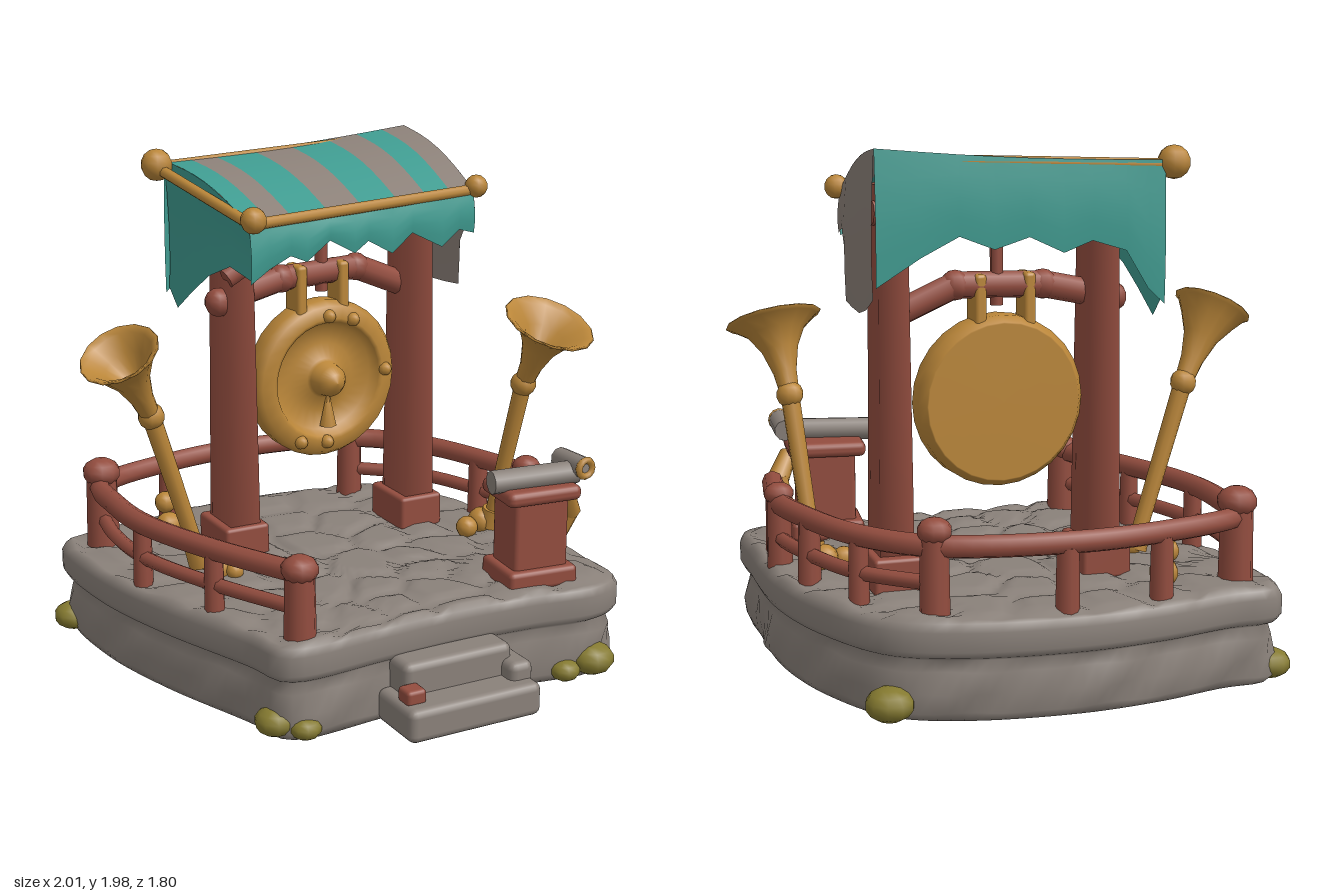
import * as THREE from 'three';
import { RoundedBoxGeometry } from 'three/addons/geometries/RoundedBoxGeometry.js';

const V = (x, y, z) => new THREE.Vector3(x, y, z);
const lerp = THREE.MathUtils.lerp;

export function createModel() {
  const root = new THREE.Group();
  const mat = (name, color, side = THREE.FrontSide) => Object.assign(new THREE.MeshStandardMaterial({ color, side }), { name });
  const stone = mat('grey stone', 0x8a817a);
  const wood = mat('red wood', 0x934d3f);
  const gold = mat('gold', 0xba8639, THREE.DoubleSide);
  const teal = mat('teal cloth', 0x3f9b90, THREE.DoubleSide);
  const greyCloth = mat('grey cloth', 0x8b8078, THREE.DoubleSide);
  const moss = mat('olive moss', 0x857a30);

  const add = (name, geo, m, x = 0, y = 0, z = 0, parent = root) => {
    const mesh = new THREE.Mesh(geo, m);
    mesh.name = name;
    mesh.position.set(x, y, z);
    parent.add(mesh);
    return mesh;
  };
  const box = (name, w, h, d, m, x, y, z, r = 0.015, parent = root) =>
    add(name, new RoundedBoxGeometry(w, h, d, 2, r), m, x, y, z, parent);
  const ball = (name, r, m, x, y, z, sx = 1, sy = 1, sz = 1) => {
    const b = add(name, new THREE.SphereGeometry(r, 10, 7), m, x, y, z);
    b.scale.set(sx, sy, sz);
    return b;
  };
  // cylinder between two points
  const rod = (name, a, b, r0, r1, m, sides = 10) => {
    const c = add(name, new THREE.CylinderGeometry(r1, r0, a.distanceTo(b), sides), m);
    c.position.copy(a).lerp(b, 0.5);
    c.quaternion.setFromUnitVectors(V(0, 1, 0), b.clone().sub(a).normalize());
    return c;
  };
  // grid surface from f(u, v); cols holds the u values
  const surface = (name, f, cols, rows, m) => {
    const pos = [], idx = [], n = cols.length;
    for (let j = 0; j <= rows; j++) for (const u of cols) pos.push(...f(u, j / rows).toArray());
    for (let j = 0; j < rows; j++) for (let i = 0; i < n - 1; i++) {
      const a = j * n + i;
      idx.push(a, a + n, a + 1, a + 1, a + n, a + n + 1);
    }
    const g = new THREE.BufferGeometry();
    g.setAttribute('position', new THREE.Float32BufferAttribute(pos, 3));
    g.setIndex(idx);
    g.computeVertexNormals();
    return add(name, g, m);
  };
  const steps = (n, a = 0, b = 1) => Array.from({ length: n + 1 }, (_, i) => lerp(a, b, i / n));

  // ---- stone platform: outline swept up the wall, then in over the cobbles
  const outline = new THREE.CatmullRomCurve3([
    [-0.89, -0.75], [-0.84, -0.79], [-0.69, -0.80], [-0.4, -0.87], [-0.07, -0.905], [0.35, -0.86], [0.6, -0.75],
    [0.78, -0.45], [0.88, -0.08], [0.895, 0.35], [0.88, 0.63], [0.75, 0.7], [0.46, 0.67], [0.14, 0.655],
    [-0.18, 0.67], [-0.53, 0.69], [-0.6, 0.65], [-0.64, 0.49], [-0.8, 0.03], [-0.89, -0.37],
  ].map(([x, z]) => V(x, 0, z)), true, 'centripetal').getSpacedPoints(120);
  let seed = 7;
  const rand = () => (seed = (seed * 16807) % 2147483647) / 2147483647;
  const cells = [];
  for (let i = 0; i < 9; i++) for (let j = 0; j < 9; j++)
    cells.push([-0.95 + i * 0.24 + (rand() - 0.5) * 0.16, -0.95 + j * 0.24 + (rand() - 0.5) * 0.16]);
  const cobble = (x, z) => {
    const d = cells.map(([a, b]) => Math.hypot(x - a, z - b)).sort((a, b) => a - b);
    return 0.022 * Math.min(1, (d[1] - d[0]) / 0.07);
  };
  const wall = [[0, 0], [0, 0.96], [0.03, 0.975], [0.1, 0.98], [0.18, 0.975], [0.22, 0.955], [0.235, 0.985], [0.26, 1], [0.33, 1], [0.36, 0.985]];
  for (let i = 0; i <= 26; i++) wall.push([0.368, 0.96 * (1 - i / 26)]);
  surface('platform', (u, v) => {
    const [y, s] = wall[Math.round(v * (wall.length - 1))];
    const p = outline[Math.round(u * 120) % 120];
    const a = u * Math.PI * 2;
    const k = s * (1 + (y > 0 && y < 0.22 ? 0.014 * Math.sin(a * 17 + y * 30) * Math.sin(a * 5 + 1) : 0));
    return V(p.x * k, y > 0.365 ? y - 0.008 + cobble(p.x * k, p.z * k) : y, p.z * k);
  }, steps(120), wall.length - 1, stone);

  // front steps
  box('lowerStep', 0.56, 0.13, 0.26, stone, 0.08, 0.065, 0.77, 0.03);
  box('lowerStepSide', 0.1, 0.19, 0.2, stone, 0.31, 0.1, 0.74, 0.03);
  box('upperStep', 0.46, 0.25, 0.14, stone, 0.08, 0.125, 0.70, 0.03);
  box('stepPatch', 0.08, 0.06, 0.08, wood, -0.14, 0.15, 0.8, 0.015);

  // mossy stones round the foot
  for (const [x, z, r] of [[-0.87, -0.7, 0.08], [0.6, -0.75, 0.09], [0.74, 0.67, 0.09], [0.61, 0.68, 0.06], [-0.58, 0.58, 0.08], [-0.5, 0.66, 0.06]])
    ball('mossStone', r, moss, x, 0.045, z, 1, 0.7, 1).position.y = r * 0.7;

  // ---- fence
  const curve = (pts, y) => new THREE.CatmullRomCurve3(pts.map(([x, z]) => V(x, y, z)));
  const path = [[-0.49, 0.6], [-0.66, 0.24], [-0.78, -0.13], [-0.79, -0.4], [-0.75, -0.64], [-0.4, -0.78], [-0.02, -0.82],
    [0.43, -0.73], [0.65, -0.51], [0.78, -0.19], [0.83, 0.05], [0.79, 0.4]];
  add('topRail', new THREE.TubeGeometry(curve(path, 0.615), 60, 0.042, 8), wood);
  add('leftLowerRail', new THREE.TubeGeometry(curve(path.slice(0, 5), 0.48), 24, 0.028, 7), wood);
  add('rightLowerRail', new THREE.TubeGeometry(curve(path.slice(7), 0.48), 24, 0.028, 7), wood);
  const posts = [[-0.49, 0.6, 0.055, 0.64], [-0.66, 0.24, 0.035, 0.6], [-0.78, -0.15, 0.035, 0.6], [-0.75, -0.64, 0.06, 0.68],
    [-0.4, -0.78, 0.04, 0.6], [-0.03, -0.82, 0.04, 0.6], [0.43, -0.73, 0.05, 0.68], [0.65, -0.51, 0.035, 0.6],
    [0.77, -0.22, 0.04, 0.62], [0.83, 0.05, 0.045, 0.66], [0.81, 0.25, 0.035, 0.6]];
  for (const [x, z, r, top] of posts) {
    rod('fencePost', V(x, 0.36, z), V(x, top, z), r * 1.1, r, wood);
    if (r > 0.042) ball('postCap', r * 1.28, wood, x, top - 0.01, z, 1, 0.75, 1);
  }

  // ---- gong frame, slightly turned
  for (const [x, top] of [[-0.31, 1.8], [0.485, 1.84]]) {
    const g = new THREE.CylinderGeometry(0.085, 0.105, top - 0.37, 4, 1);
    g.rotateY(Math.PI / 4);
    g.scale(0.88, 1, 1.32);
    add('pillar', g, wood, x, (top + 0.37) / 2, -0.32);
    box('pillarFoot', 0.19, 0.14, 0.26, wood, x, 0.43, -0.33);
  }
  const beam = [V(-0.38, 1.4, -0.29), V(-0.1, 1.46, -0.31), V(0.24, 1.47, -0.33), V(0.45, 1.38, -0.34)];
  for (let i = 0; i < 3; i++) rod('crossBeam', beam[i], beam[i + 1], 0.05, 0.05, wood, 8);
  for (const p of beam.slice(0, 3)) ball('beamJoint', 0.056, wood, p.x, p.y, p.z);
  rod('beamPeg', V(0.08, 1.39, -0.32), V(0.08, 1.72, -0.32), 0.025, 0.025, wood, 6);
  rod('upperBeam', V(-0.37, 1.7, -0.3), V(0.55, 1.74, -0.34), 0.045, 0.045, wood, 8);
  rod('pillarPeg', V(-0.37, 1.5, -0.24), V(-0.28, 1.55, -0.24), 0.04, 0.04, wood, 8);

  // ---- gong
  const gong = new THREE.Group();
  gong.name = 'gong';
  gong.position.set(0.075, 1.04, -0.315);
  gong.rotation.y = 0.05;
  root.add(gong);
  const dish = new THREE.LatheGeometry([[0, -0.075], [0.29, -0.075], [0.295, -0.073], [0.318, -0.04], [0.32, 0.03], [0.3, 0.062], [0.25, 0.07],
    [0.235, 0.062], [0.215, 0.02], [0.14, 0.005], [0.08, 0.03], [0.07, 0.04], [0.062, 0.09], [0.035, 0.125], [0, 0.135]]
    .map(([x, y]) => new THREE.Vector2(x, y)), 28);
  dish.rotateX(Math.PI / 2);
  add('gongDish', dish, gold, 0, 0, 0, gong);
  for (const [x, y] of [[0, 0.26], [0.11, 0.235], [-0.13, -0.24], [-0.01, -0.255], [0.262, 0.01]])
    add('gongStud', new THREE.SphereGeometry(0.028, 8, 6), gold, x, y, 0.066, gong);
  add('gongDrop', new THREE.ConeGeometry(0.035, 0.16, 7), gold, 0.015, -0.12, 0.03, gong);
  for (const x of [-0.11, 0.08]) box('gongStrap', 0.045, 0.22, 0.11, gold, x, 0.36, 0, 0.015, gong);

  // ---- canopy: bowed striped roof and ragged hanging cloth
  const corner = { bl: V(-0.49, 1.92, -0.53), br: V(0.59, 1.98, -0.56), fl: V(-0.41, 1.765, 0.05), fr: V(0.59, 1.8, -0.02) };
  const roof = (u, v) => {
    const p = corner.bl.clone().lerp(corner.br, u).lerp(corner.fl.clone().lerp(corner.fr, u), v);
    p.y += 0.035 * Math.sin(Math.PI * v) - 0.012 * Math.sin(Math.PI * u);
    return p;
  };
  const stripes = [0, 0.09, 0.19, 0.35, 0.5, 0.66, 0.79, 0.9, 1];
  for (let i = 0; i < 8; i++) surface('roofStripe', roof, steps(3, stripes[i], stripes[i + 1]), 8, i % 2 ? greyCloth : teal);
  // cloth hung from a roof edge to a ragged hem of [u, y] points
  const hang = (name, edge, hem, out, m) => surface(name, (u, v) => {
    const p = edge(u);
    const y = hem.find((h) => h[0] === u)[1];
    p.y = lerp(p.y, y, v);
    return p.addScaledVector(out, Math.sin(v * 2.4));
  }, hem.map((h) => h[0]), 4, m);
  hang('frontValance', (u) => roof(u, 1), [[0, 1.54], [0.08, 1.59], [0.17, 1.63], [0.24, 1.6], [0.34, 1.67], [0.45, 1.61], [0.51, 1.65],
    [0.62, 1.59], [0.71, 1.66], [0.85, 1.59], [0.93, 1.65], [1, 1.63]], V(0, 0, 0.02), teal);
  hang('backCurtain', (u) => roof(u, 0), [[0, 1.4], [0.06, 1.46], [0.14, 1.6], [0.26, 1.64], [0.36, 1.6], [0.48, 1.66], [0.6, 1.62],
    [0.72, 1.67], [0.85, 1.6], [1, 1.5]], V(0, 0, -0.015), teal);
  hang('leftCurtain', (u) => roof(0, u), [[0, 1.42], [0.1, 1.35], [0.3, 1.44], [0.5, 1.52], [0.75, 1.58], [1, 1.55]], V(0.015, 0, 0), teal);
  hang('rightCurtain', (u) => roof(1, u), [[0, 1.46], [0.2, 1.41], [0.4, 1.385], [0.6, 1.39], [0.8, 1.4], [0.805, 1.57], [0.9, 1.66], [1, 1.64]],
    V(0.012, 0, 0), greyCloth);
  rod('frontPole', V(-0.4, 1.76, 0.05), V(0.6, 1.795, -0.03), 0.022, 0.022, gold, 8);
  rod('sidePole', V(-0.53, 1.9, -0.51), V(-0.4, 1.76, 0.06), 0.022, 0.022, gold, 8);
  rod('backPole', V(-0.53, 1.9, -0.51), V(0.56, 1.94, -0.54), 0.022, 0.022, gold, 8);
  ball('poleKnob', 0.062, gold, -0.53, 1.91, -0.51);
  ball('poleKnob', 0.05, gold, -0.4, 1.78, 0.07);
  ball('poleKnob', 0.045, gold, 0.605, 1.81, -0.02);

  // ---- horns: thin pipe, knob and flared bell
  const horn = (foot, neck, mouth, r) => {
    rod('hornPipe', foot, neck, 0.03, 0.036, gold);
    rod('hornFoot', foot, foot.clone().lerp(neck, 0.12), 0.05, 0.045, gold);
    ball('hornKnob', 0.052, gold, neck.x, neck.y, neck.z);
    const dir = mouth.clone().sub(neck), L = dir.length();
    const bell = add('hornBell', new THREE.LatheGeometry([[0.036, 0], [0.045, 0.3], [0.07, 0.6], [0.11, 0.83], [r * 0.9, 0.97], [r, 1], [r * 0.96, 1.02],
      [r * 0.8, 0.97], [0.08, 0.8], [0.04, 0.6], [0, 0.52]].map(([x, y]) => new THREE.Vector2(x, y * L)), 14), gold);
    bell.position.copy(neck);
    bell.quaternion.setFromUnitVectors(V(0, 1, 0), dir.normalize());
  };
  horn(V(-0.52, 0.39, -0.19), V(-0.73, 1.03, -0.15), V(-0.885, 1.31, -0.06), 0.155);
  horn(V(0.71, 0.39, -0.03), V(0.77, 1.02, 0.1), V(0.805, 1.29, 0.22), 0.185);
  for (const [x, y, z, r] of [[-0.5, 0.41, -0.19, 0.05], [-0.5, 0.4, -0.08, 0.05], [-0.45, 0.4, -0.03, 0.035], [0.6, 0.4, -0.03, 0.045],
    [0.68, 0.41, -0.05, 0.055], [-0.48, 0.41, -0.6, 0.055], [-0.48, 0.5, -0.63, 0.045]]) ball('goldOrnament', r, gold, x, y, z);

  // ---- pedestal with a rolled scroll
  const pedestal = new THREE.Group();
  pedestal.name = 'pedestal';
  pedestal.position.set(0.56, 0.36, 0.49);
  pedestal.rotation.y = -0.1;
  root.add(pedestal);
  box('pedestalFoot', 0.29, 0.08, 0.25, wood, 0, 0.04, 0, 0.02, pedestal);
  box('pedestalBody', 0.23, 0.33, 0.19, wood, 0, 0.2, 0, 0.02, pedestal);
  box('pedestalCap', 0.31, 0.06, 0.25, wood, 0, 0.37, 0, 0.025, pedestal);
  rod('scroll', V(0.37, 0.785, 0.5), V(0.72, 0.79, 0.55), 0.046, 0.046, stone);
  rod('scrollEnd', V(0.72, 0.82, 0.61), V(0.73, 0.81, 0.43), 0.042, 0.042, stone);
  const ring = add('scrollRing', new THREE.TorusGeometry(0.032, 0.014, 6, 12), gold, 0.72, 0.82, 0.612);
  ring.rotation.y = 0.1;
  rod('sideHandle', V(0.7, 0.7, 0.52), V(0.76, 0.6, 0.46), 0.035, 0.045, gold, 8);
  rod('sideHandle', V(0.76, 0.61, 0.46), V(0.72, 0.47, 0.43), 0.045, 0.03, gold, 8);
  return root;
}
